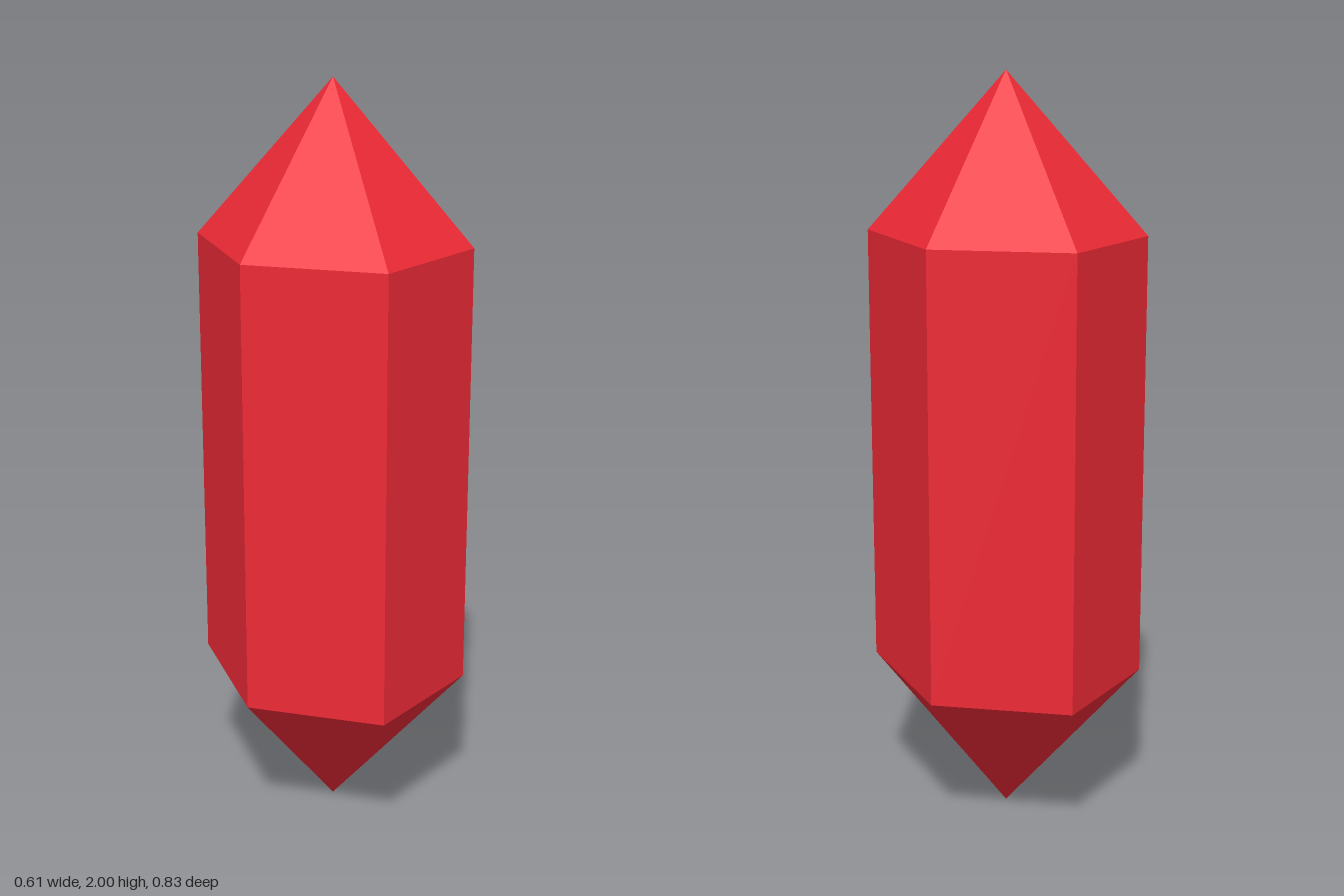
import * as THREE from 'three';

export function createModel() {
  const group = new THREE.Group();
  group.name = 'crystal';
  const material = new THREE.MeshStandardMaterial({ color: 0xee2a36 });
  material.flatShading = true;

  const sides = 6, radius = 0.413, lower = 0.415, upper = 1.59, height = 2;

  // Hexagonal section with corners on +z and -z, narrowed across x
  function addPart(name, topRadius, bottomRadius, y0, y1) {
    const geometry = new THREE.CylinderGeometry(topRadius, bottomRadius, y1 - y0, sides, 1, true);
    geometry.scale(0.847, 1, 1);
    geometry.translate(0, (y0 + y1) / 2, 0);
    const mesh = new THREE.Mesh(geometry, material);
    mesh.name = name;
    group.add(mesh);
  }

  // Pointed ends and straight prism between them
  addPart('lowerPoint', radius, 0, 0, lower);
  addPart('shaft', radius, radius, lower, upper);
  addPart('upperPoint', 0, radius, upper, height);

  return group;
}
